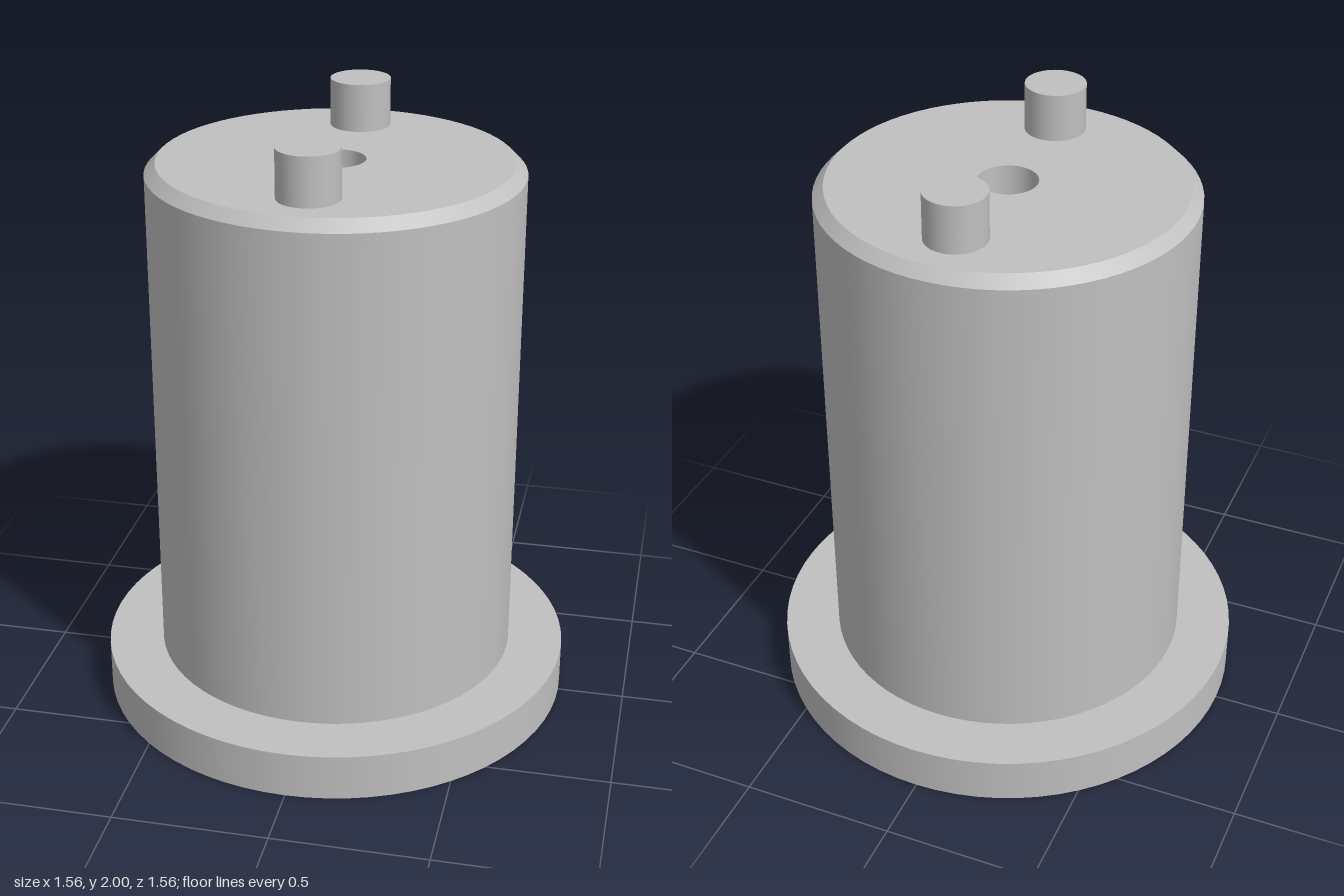
import * as THREE from 'three';
import { mergeGeometries } from 'three/addons/utils/BufferGeometryUtils.js';

const SEGMENTS = 72;

// Revolve a profile with a sharp edge at every profile point
function revolve(points) {
  const bands = [];
  for (let i = 0; i + 1 < points.length; i++) {
    const pair = [points[i], points[i + 1]].map(([r, y]) => new THREE.Vector2(r, y));
    bands.push(new THREE.LatheGeometry(pair, SEGMENTS));
  }
  return mergeGeometries(bands);
}

export function createModel() {
  const group = new THREE.Group();
  const metal = new THREE.MeshStandardMaterial({ color: 0xc0c0c0 });
  metal.name = 'grey metal';

  function add(name, geometry, x = 0, y = 0, z = 0) {
    const mesh = new THREE.Mesh(geometry, metal);
    mesh.name = name;
    mesh.position.set(x, y, z);
    group.add(mesh);
  }

  // Flange, chamfered barrel and blind centre hole in the top
  add('body', revolve([
    [0.78, 0], [0.78, 0.155], [0.597, 0.155], [0.597, 1.81],
    [0.562, 1.845], [0.095, 1.845], [0.095, 1.5], [0, 1.5],
  ]));

  // Two drive pins on the top
  for (const [name, z] of [['frontPin', 0.39], ['backPin', -0.39]]) {
    add(name, new THREE.CylinderGeometry(0.098, 0.098, 0.165, 48), 0, 1.9175, z);
  }

  // Off-centre bore, with three small holes on an arc around it
  const boreX = -0.19, boreR = 0.195, rimR = 0.235, depth = 0.6;
  const smallHoles = [0, 30, 60].map((degrees) => {
    const a = THREE.MathUtils.degToRad(degrees);
    return [boreX + 0.305 * Math.cos(a), 0.305 * Math.sin(a)];
  });

  // Underside plate pierced by the holes
  const underside = new THREE.Shape().absarc(0, 0, 0.78, 0, Math.PI * 2);
  const pierce = (x, z, r) =>
    underside.holes.push(new THREE.Path().absarc(x, z, r, 0, Math.PI * 2, true));
  pierce(boreX, 0, rimR);
  smallHoles.forEach(([x, z]) => pierce(x, z, 0.029));
  add('underside', new THREE.ShapeGeometry(underside, SEGMENTS).rotateX(Math.PI / 2));

  // Bore wall with chamfered mouth
  add('shaftBore', revolve([[0, depth], [boreR, depth], [boreR, 0.035], [rimR, 0]]), boreX);

  // Flat that turns the inner bore into a D shape
  const flat = new THREE.Shape().absarc(0, 0, boreR, Math.PI * 0.8, Math.PI * 1.2);
  const flatGeometry = new THREE.ExtrudeGeometry(flat, {
    depth: depth - 0.1, bevelEnabled: false, curveSegments: 16,
  }).rotateX(Math.PI / 2);
  add('boreFlat', flatGeometry, boreX, depth, 0);

  // Small blind holes
  smallHoles.forEach(([x, z], i) =>
    add('indexHole' + (i + 1), revolve([[0, 0.1], [0.029, 0.1], [0.029, 0]]), x, 0, z));

  return group;
}
